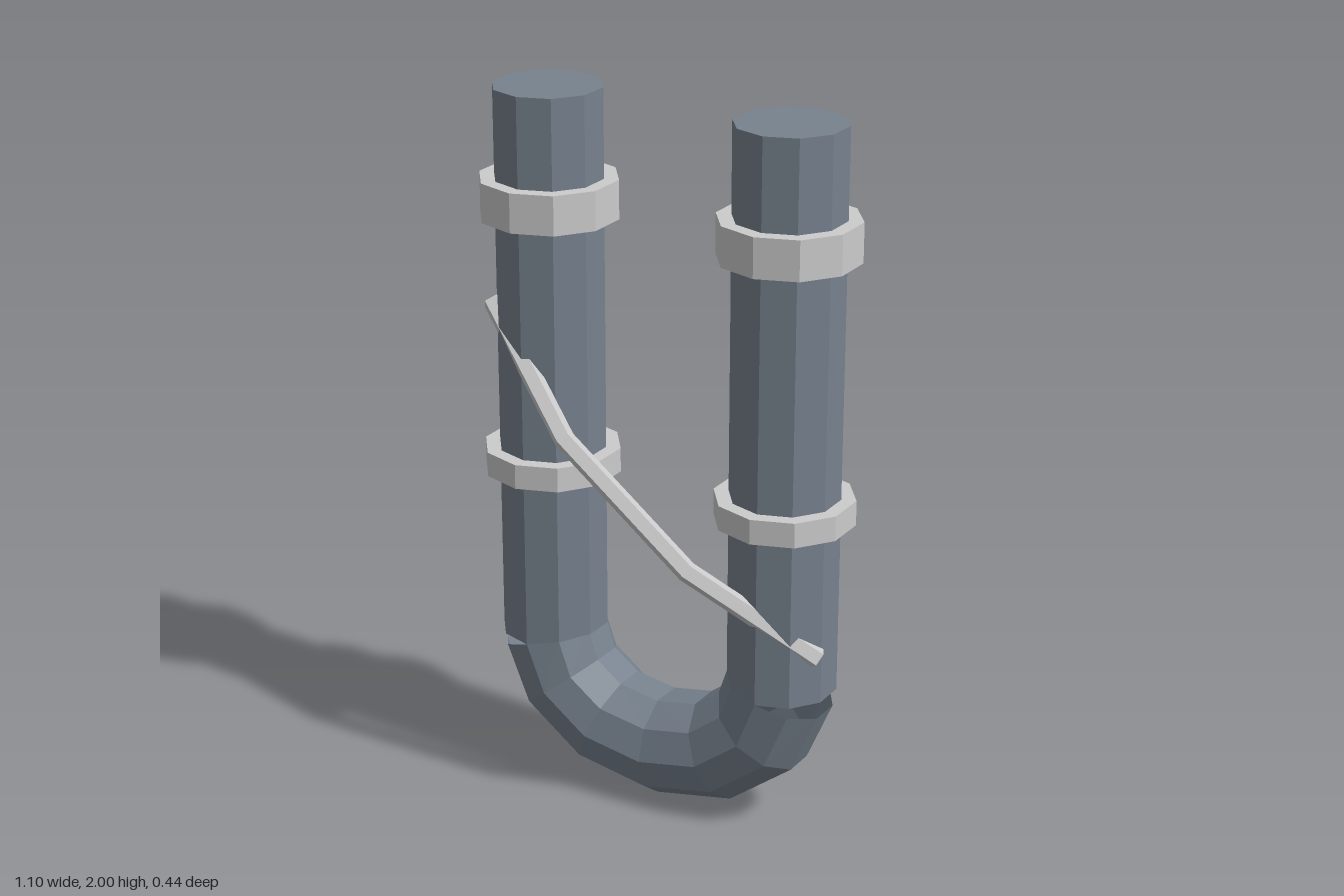
import * as THREE from 'three';

const pipeMat = new THREE.MeshStandardMaterial({ color: 0x77828e, flatShading: true, side: THREE.DoubleSide });
const metalMat = new THREE.MeshStandardMaterial({ color: 0xcccccc, flatShading: true, side: THREE.DoubleSide });

const PIPE_X = 0.365, PIPE_Z = -0.026, PIPE_R = 0.152;

function add(group, name, geometry, material) {
  const mesh = new THREE.Mesh(geometry, material);
  mesh.name = name;
  group.add(mesh);
  return mesh;
}

// Upright ten-sided cylinder spanning y0..y1
function upright(group, name, x, y0, y1, radius, material) {
  const mesh = add(group, name, new THREE.CylinderGeometry(radius, radius, y1 - y0, 10), material);
  mesh.position.set(x, (y0 + y1) / 2, PIPE_Z);
}

// Tube with exactly one ring of vertices at each given point
function facetedTube(points, radius, sides) {
  const curve = new THREE.CatmullRomCurve3(points.map(p => new THREE.Vector3(...p)), false, 'catmullrom');
  curve.getPointAt = curve.getPoint;
  curve.getTangentAt = curve.getTangent;
  return new THREE.TubeGeometry(curve, points.length - 1, radius, sides, false);
}

export function createModel() {
  const model = new THREE.Group();
  model.name = 'bentPipe';

  // Two vertical pipes, each with a wide upper and a narrow lower collar
  for (const [side, s] of [['left', 1], ['right', -1]]) {
    const x = s * PIPE_X;
    upright(model, side + 'Pipe', x, 0.42, 2, PIPE_R, pipeMat);
    upright(model, side + 'UpperCollar', x, 1.64, 1.75, 0.193, metalMat);
    upright(model, side + 'LowerCollar', x, 0.91, 0.98, 0.193, metalMat);
  }

  // U-bend joining the pipes at the bottom
  const half = [[PIPE_X, 0.42], [0.31, 0.28], [0.178, 0.18]];
  const bend = [
    ...half.map(([x, y]) => [-x, y, PIPE_Z]),
    [0, 0.147, PIPE_Z],
    ...half.reverse().map(([x, y]) => [x, y, PIPE_Z]),
  ];
  add(model, 'bottomBend', facetedTube(bend, PIPE_R, 10), pipeMat);

  // Thin rod running diagonally across the front
  const rod = [[-0.51, 1.39, 0.04], [-0.19, 1.1, 0.19], [0.19, 0.8, 0.19], [0.51, 0.56, 0.04]];
  add(model, 'diagonalRod', facetedTube(rod, 0.03, 5), metalMat);

  return model;
}
